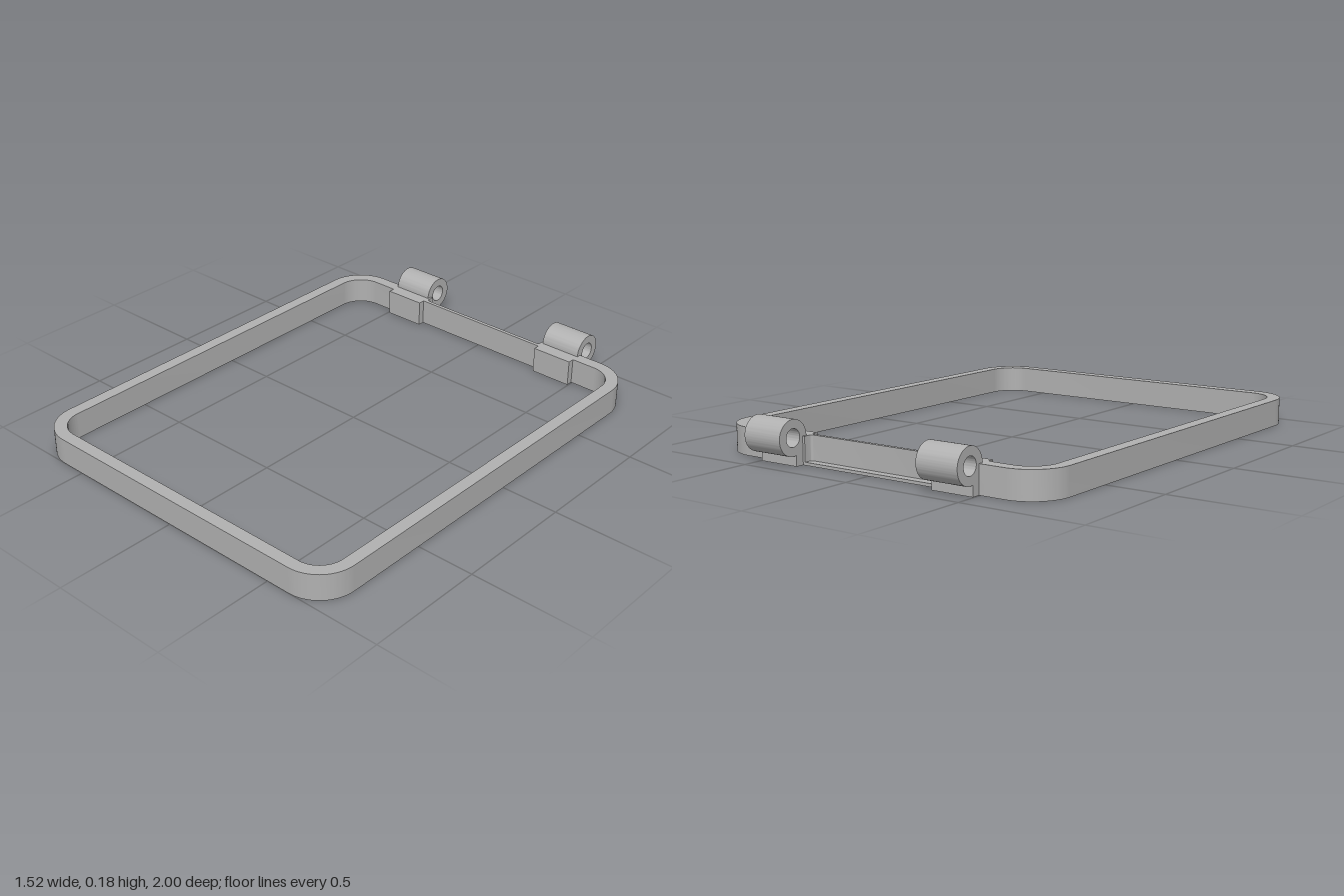
import * as THREE from 'three';
import { toCreasedNormals } from 'three/addons/utils/BufferGeometryUtils.js';

const HEIGHT = 0.11, LIP = 0.012;
const grey = new THREE.MeshStandardMaterial({ color: 0xb0b0b0 });
grey.name = 'grey';

// Rounded rectangle from front y0 to back y1; an optional notch is cut in the back edge
function outline(PathType, w, y0, y1, r, notch) {
  const p = new PathType();
  p.moveTo(-w + r, y0);
  p.lineTo(w - r, y0);
  p.absarc(w - r, y0 + r, r, -Math.PI / 2, 0, false);
  p.lineTo(w, y1 - r);
  p.absarc(w - r, y1 - r, r, 0, Math.PI / 2, false);
  if (notch) {
    const { half, depth, c } = notch, yb = y1 - depth;
    p.lineTo(half, y1);
    p.lineTo(half, yb + c);
    p.quadraticCurveTo(half, yb, half - c, yb);
    p.lineTo(-half + c, yb);
    p.quadraticCurveTo(-half, yb, -half, yb + c);
    p.lineTo(-half, y1);
  }
  p.lineTo(-w + r, y1);
  p.absarc(-w + r, y1 - r, r, Math.PI / 2, Math.PI, false);
  p.lineTo(-w, y0 + r);
  p.absarc(-w + r, y0 + r, r, Math.PI, Math.PI * 1.5, false);
  return p;
}

function ring(name, bottom, top, notch) {
  const shape = outline(THREE.Shape, 0.76, -1, 0.88, 0.16, notch);
  shape.holes.push(outline(THREE.Path, 0.708, -0.948, 0.828, 0.108));
  const geo = new THREE.ExtrudeGeometry(shape, { depth: top - bottom, bevelEnabled: false, curveSegments: 16 });
  geo.rotateX(-Math.PI / 2).translate(0, bottom, 0);
  const mesh = new THREE.Mesh(toCreasedNormals(geo, 0.5), grey);
  mesh.name = name;
  return mesh;
}

// Hinge side profile: clamp pad, foot and pin barrel in one outline
function hingeGeometry() {
  const cz = -0.93, cy = 0.11, r = 0.07, width = 0.178;
  const s = new THREE.Shape();
  s.moveTo(-0.8, 0);
  s.lineTo(-0.915, 0);
  s.absarc(cz, cy, r, -Math.acos((-0.915 - cz) / r), 0, true);
  s.lineTo(-0.8, HEIGHT);
  s.closePath();
  const hole = new THREE.Path();
  hole.absarc(cz, cy, 0.035, 0, Math.PI * 2, false);
  s.holes.push(hole);
  const geo = new THREE.ExtrudeGeometry(s, { depth: width, bevelEnabled: false, curveSegments: 40 });
  geo.rotateY(-Math.PI / 2).translate(width / 2, 0, 0);
  return toCreasedNormals(geo, 0.5);
}

export function createModel() {
  const model = new THREE.Group();
  model.name = 'hingedFrame';

  // Frame with a recess in its back wall, standing on a thin lip
  model.add(ring('frameLip', 0, LIP));
  model.add(ring('frameWall', LIP, HEIGHT, { half: 0.308, depth: 0.036, c: 0.012 }));

  // Pair of hinge knuckles
  const geo = hingeGeometry();
  for (const side of [-1, 1]) {
    const hinge = new THREE.Mesh(geo, grey);
    hinge.name = side > 0 ? 'leftHinge' : 'rightHinge';
    hinge.position.x = side * 0.407;
    model.add(hinge);
  }
  return model;
}
